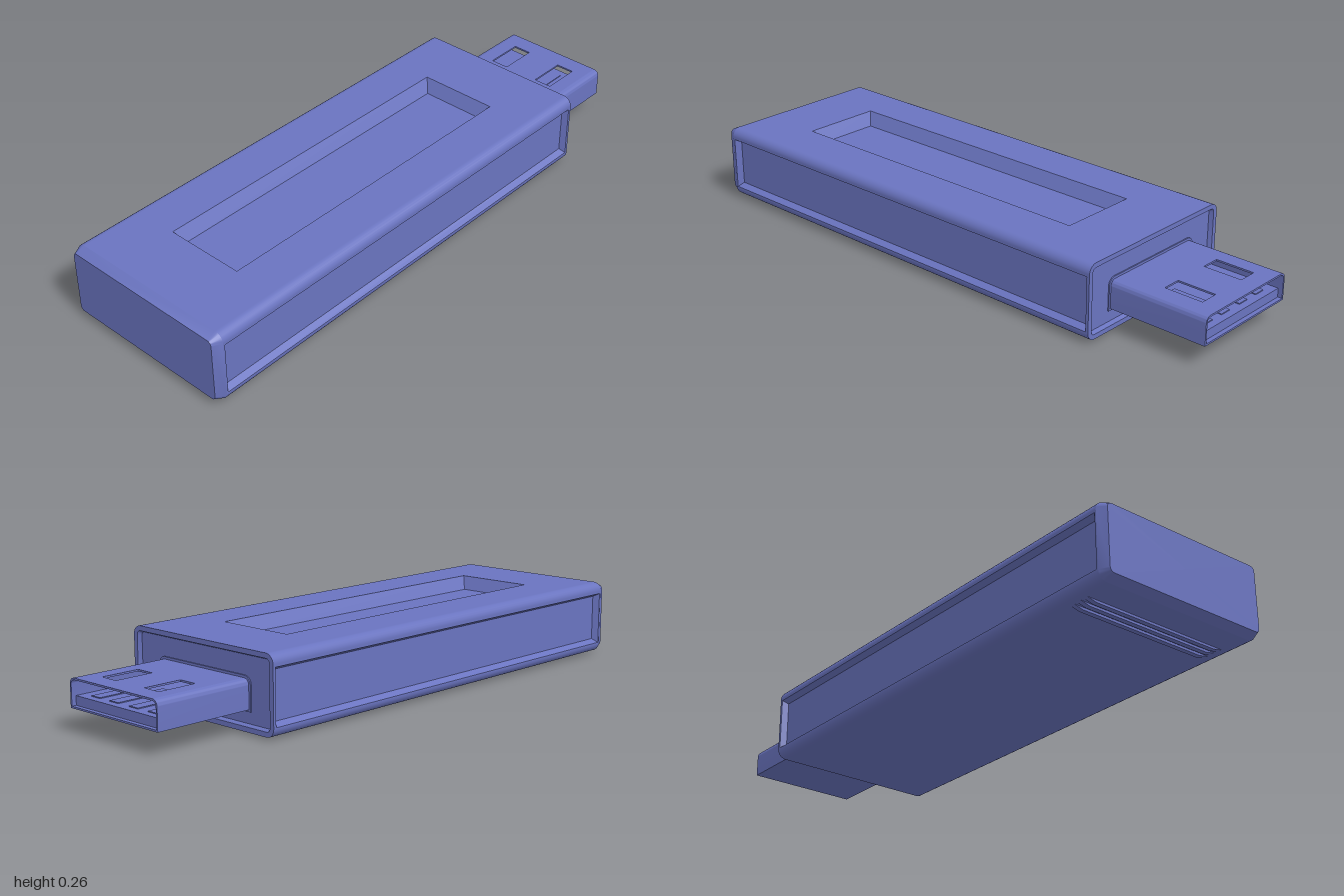
import * as THREE from 'three';
import { toCreasedNormals } from 'three/addons/utils/BufferGeometryUtils.js';

const material = new THREE.MeshStandardMaterial({ color: 0x6a74c0 });
const BOTTOM = 0.008, TOP = 0.26, HALF = 0.315, R = 0.03;
const MID = (BOTTOM + TOP) / 2;

// Skin between successive closed loops (counter-clockwise about the facing direction)
function loft(loops) {
  const pos = [];
  const tri = (a, b, c) => {
    const n = b.clone().sub(a).cross(c.clone().sub(a));
    if (n.length() > 1e-9) for (const p of [a, b, c]) pos.push(p.x, p.y, p.z);
  };
  for (let k = 0; k + 1 < loops.length; k++) {
    const a = loops[k], b = loops[k + 1], n = a.length;
    for (let i = 0; i < n; i++) {
      const j = (i + 1) % n;
      tri(a[i], a[j], b[j]);
      tri(a[i], b[j], b[i]);
    }
  }
  const g = new THREE.BufferGeometry();
  g.setAttribute('position', new THREE.Float32BufferAttribute(pos, 3));
  return toCreasedNormals(g, 0.5);
}

const collapse = (loop) => {
  const c = new THREE.Vector3();
  loop.forEach((p) => c.add(p));
  c.divideScalar(loop.length);
  return loop.map(() => c);
};

// Rounded-rectangle cross-section at a given x, inset from the body outline
function section(x, inset, seg = 6) {
  const pts = [], r = Math.max(R - inset, 0.012);
  const w = HALF - inset - r, h = (TOP - BOTTOM) / 2 - inset - r;
  [[1, 1], [-1, 1], [-1, -1], [1, -1]].forEach(([su, sv], q) => {
    for (let i = 0; i <= seg; i++) {
      const a = (q + i / seg) * Math.PI / 2;
      pts.push(new THREE.Vector3(x, MID + sv * h + r * Math.sin(a), -(su * w + r * Math.cos(a))));
    }
  });
  return pts;
}

// Flat panel facing +z; each level is [x0, x1, y0, y1, z], the last one is filled
function panel(levels) {
  const loops = levels.map(([a, b, c, d, z]) =>
    [[a, c], [b, c], [b, d], [a, d]].map(([x, y]) => new THREE.Vector3(x, y, z)));
  return loft([...loops, collapse(loops.at(-1))]);
}

// Shape drawn in the z-y plane and extruded along x
function extrudeX(shape, x0, x1) {
  return new THREE.ExtrudeGeometry(shape, { depth: x1 - x0, bevelEnabled: false, curveSegments: 6 })
    .rotateY(Math.PI / 2).translate(x0, 0, 0);
}

// Connector outline: square below, rounded on top
function archShape(h, bot, top, r) {
  const s = new THREE.Shape();
  s.moveTo(-h, bot).lineTo(h, bot).lineTo(h, top - r);
  s.absarc(h - r, top - r, r, 0, Math.PI / 2, false);
  s.lineTo(-h + r, top);
  s.absarc(-h + r, top - r, r, Math.PI / 2, Math.PI, false);
  s.closePath();
  return s;
}

export function createModel() {
  const model = new THREE.Group();
  const add = (name, geometry, parent = model) => {
    const mesh = new THREE.Mesh(geometry, material);
    mesh.name = name;
    parent.add(mesh);
    return mesh;
  };

  // Body: chamfered closed end, rounded long edges, recessed connector end
  const body = new THREE.Group();
  body.name = 'body';
  model.add(body);
  const x0 = -0.968, x1 = 0.665;
  const tip = section(-1, 0.015);
  add('closedEnd', loft([collapse(tip), tip, section(x0, 0)]), body);
  const well = section(x1 - 0.014, 0.022);
  add('connectorEnd', loft([section(x1, 0), section(x1, 0.016), well, collapse(well)]), body);

  const ym = [BOTTOM + R, TOP - R], zm = HALF - R;
  [[zm, ym[1], 0], [-zm, ym[1], 1], [-zm, ym[0], 2], [zm, ym[0], 3]].forEach(([z, y, q]) => {
    // quarter-round edges
    const g = new THREE.CylinderGeometry(R, R, x1 - x0, 6, 1, true, 0, Math.PI / 2);
    g.rotateX(Math.PI / 2).rotateY(Math.PI / 2); // axis along x
    g.computeBoundingBox();
    const b = g.boundingBox;
    const now = Math.atan2(b.max.y + b.min.y, b.max.z + b.min.z);
    const want = Math.PI / 4 + q * Math.PI / 2;
    g.rotateX(now - want).translate((x0 + x1) / 2, y, z);
    add('roundedEdge', g, body);
  });

  const side = [
    [x0, x1, ym[0], ym[1], HALF],
    [-0.962, 0.655, 0.041, 0.221, HALF],
    [-0.95, 0.645, 0.054, 0.21, HALF - 0.02],
  ];
  add('frontSide', panel(side), body);
  const back = side.map(([a, b, ...rest]) => [-b, -a, ...rest]);
  add('backSide', panel(back).rotateY(Math.PI), body);
  add('topWithRecess', panel([
    [x0, x1, -zm, zm, TOP],
    [-0.745, 0.44, -0.14, 0.14, TOP],
    [-0.72, 0.415, -0.115, 0.115, TOP - 0.045],
  ]).rotateX(-Math.PI / 2), body);
  add('underside', panel([[x0, x1, -zm, zm, -BOTTOM]]).rotateX(Math.PI / 2), body);

  // Grip ribs under the closed end
  const rib = new THREE.Shape([[-0.28, 0.01], [-0.235, 0], [0.235, 0], [0.28, 0.01]]
    .map(([x, y]) => new THREE.Vector2(x, y)));
  for (let i = 0; i < 3; i++) {
    const x = -0.875 + i * 0.028;
    add('gripRib', extrudeX(rib, x, x + 0.016));
  }

  // Connector: hollow shell whose top plate has two windows
  const connector = new THREE.Group();
  connector.name = 'connector';
  model.add(connector);
  const h = 0.2, bot = 0.074, top = 0.168, r = 0.02, t = 0.006;
  add('collar', extrudeX(archShape(0.207, 0.067, 0.176, 0.026), 0.645, 0.655), connector);

  const u = new THREE.Shape();
  u.moveTo(-h, bot).lineTo(h, bot).lineTo(h, top - r);
  u.absarc(h - r, top - r, r, 0, Math.PI / 2, false);
  u.lineTo(h - r, top - t);
  u.absarc(h - r, top - r, r - t, Math.PI / 2, 0, true);
  u.lineTo(h - t, bot + t).lineTo(-h + t, bot + t).lineTo(-h + t, top - r);
  u.absarc(-h + r, top - r, r - t, Math.PI, Math.PI / 2, true);
  u.lineTo(-h + r, top);
  u.absarc(-h + r, top - r, r, Math.PI / 2, Math.PI, false);
  u.closePath();
  add('shell', toCreasedNormals(extrudeX(u, 0.65, 1), 0.5), connector);

  const box2 = (Type, a, b, c, d) => new Type([[a, c], [b, c], [b, d], [a, d]]
    .map(([x, y]) => new THREE.Vector2(x, y)));
  const plate = box2(THREE.Shape, 0.65, 1, -h + r, h - r);
  plate.holes.push(box2(THREE.Path, 0.8, 0.935, 0.065, 0.13), box2(THREE.Path, 0.8, 0.935, -0.13, -0.065));
  add('shellTop', new THREE.ExtrudeGeometry(plate, { depth: t, bevelEnabled: false })
    .rotateX(-Math.PI / 2).translate(0, top - t, 0), connector);

  // Tongue and contacts inside the shell
  add('tongue', new THREE.BoxGeometry(0.335, 0.031, 0.386).translate(0.8175, 0.0945, 0), connector);
  for (const z of [-0.13, -0.045, 0.045, 0.13]) {
    add('contact', new THREE.BoxGeometry(0.2, 0.004, 0.04).translate(0.86, 0.111, z), connector);
  }
  return model;
}
